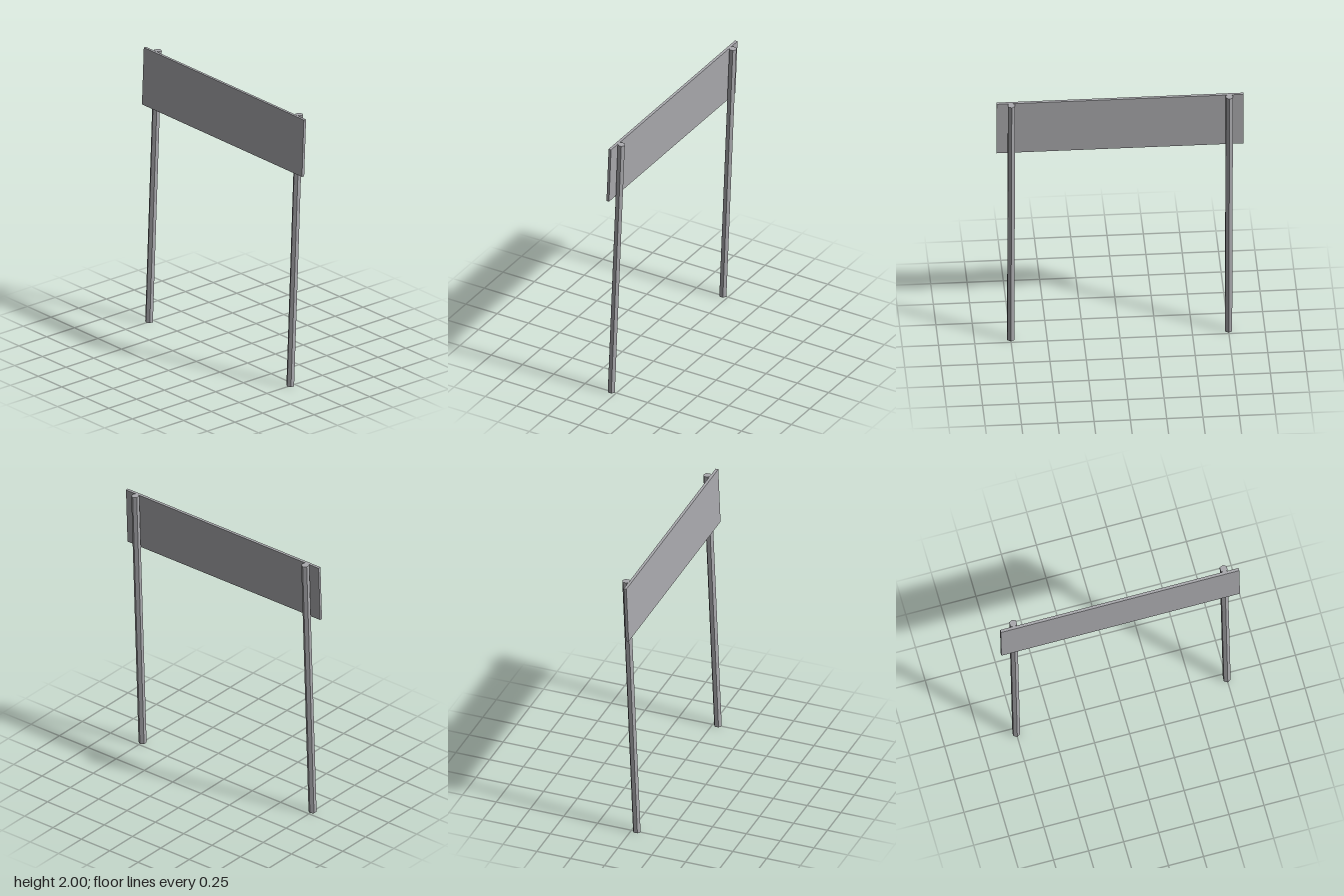
import * as THREE from 'three';

export function createModel() {
  const model = new THREE.Group();
  model.name = 'signBoardOnPosts';
  const grey = new THREE.MeshStandardMaterial({ color: 0xaaaaae });
  grey.name = 'plain grey';
  grey.flatShading = true;

  // the whole frame leans slightly backwards
  const frame = new THREE.Group();
  frame.name = 'leaningFrame';
  frame.position.y = 1;
  frame.rotation.x = -0.04;
  model.add(frame);

  // two six-sided posts, one corner facing forwards
  const postGeometry = new THREE.CylinderGeometry(0.028, 0.028, 1.999, 6);
  for (const side of [-1, 1]) {
    const post = new THREE.Mesh(postGeometry, grey);
    post.name = side > 0 ? 'leftPost' : 'rightPost';
    post.position.x = side * 0.75;
    frame.add(post);
  }

  // thin board fixed across the front of the posts
  const board = new THREE.Mesh(new THREE.BoxGeometry(1.7, 0.419, 0.02), grey);
  board.name = 'board';
  board.position.set(0, 0.789, 0.0325);
  frame.add(board);

  return model;
}
